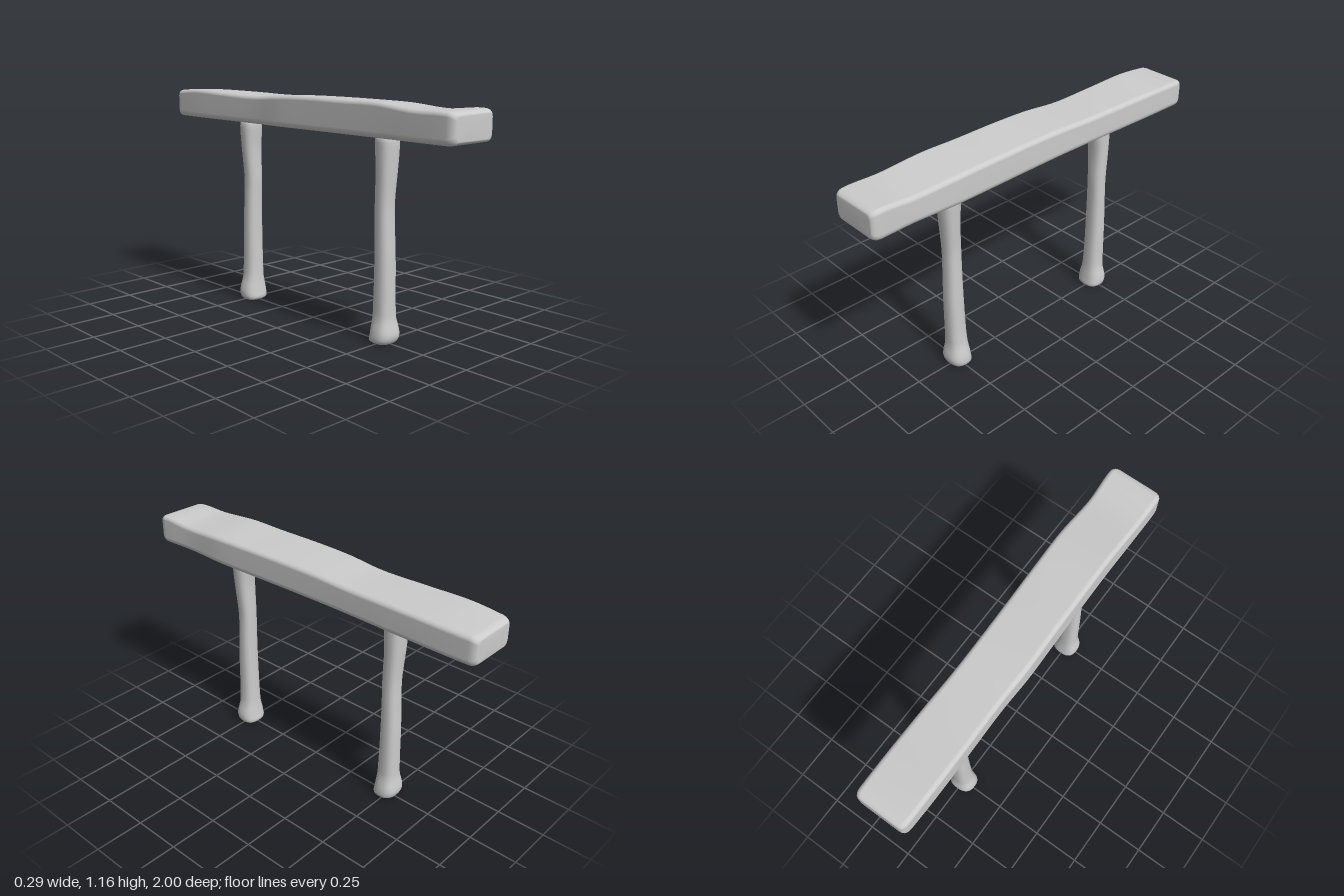
import * as THREE from 'three';

const material = new THREE.MeshStandardMaterial({ color: 0xcccccc, side: THREE.DoubleSide });

// Smooth interpolation through rows of [t, a, b, c, ...] sorted by t
function sample(rows, t) {
  let i = 0;
  while (i < rows.length - 2 && t > rows[i + 1][0]) i++;
  const p = rows[i], q = rows[i + 1];
  const o = rows[Math.max(i - 1, 0)], r = rows[Math.min(i + 2, rows.length - 1)];
  const h = q[0] - p[0], u = THREE.MathUtils.clamp((t - p[0]) / h, 0, 1);
  return p.slice(1).map((v, k) => {
    const n = k + 1;
    const m0 = (q[n] - o[n]) / (q[0] - o[0]) * h, m1 = (r[n] - p[n]) / (r[0] - p[0]) * h;
    const u2 = u * u, u3 = u2 * u;
    return (2 * u3 - 3 * u2 + 1) * v + (u3 - 2 * u2 + u) * m0 + (3 * u2 - 2 * u3) * q[n] + (u3 - u2) * m1;
  });
}

// Skin a list of closed rings and cap both ends
function loft(rings, name) {
  const n = rings[0].length, last = rings.length - 1;
  const points = rings.flat(), index = [];
  for (let i = 0; i < last; i++) for (let j = 0; j < n; j++) {
    const a = i * n + j, b = i * n + (j + 1) % n;
    index.push(a, b, a + n, b, b + n, a + n);
  }
  for (const row of [0, last]) {
    const centre = new THREE.Vector3();
    rings[row].forEach(p => centre.addScaledVector(p, 1 / n));
    const c = points.push(centre) - 1;
    for (let j = 0; j < n; j++) {
      const a = row * n + j, b = row * n + (j + 1) % n;
      row ? index.push(c, a, b) : index.push(c, b, a);
    }
  }
  const geometry = new THREE.BufferGeometry().setFromPoints(points);
  geometry.setIndex(index);
  geometry.computeVertexNormals();
  const mesh = new THREE.Mesh(geometry, material);
  mesh.name = name;
  return mesh;
}

// Beam outline along z: [z, left x, right x, top y at left, top y at right]
const beamRows = [
  [-1.0, -0.138, 0.13, 1.142, 1.14], [-0.8, -0.143, 0.132, 1.156, 1.142],
  [-0.55, -0.142, 0.13, 1.15, 1.142], [-0.3, -0.14, 0.126, 1.146, 1.14],
  [-0.1, -0.147, 0.126, 1.158, 1.147], [0.1, -0.144, 0.13, 1.164, 1.15],
  [0.35, -0.141, 0.137, 1.163, 1.15], [0.55, -0.14, 0.141, 1.164, 1.147],
  [0.78, -0.143, 0.132, 1.145, 1.134], [0.92, -0.144, 0.138, 1.146, 1.147],
  [1.0, -0.142, 0.14, 1.142, 1.146],
];

function beamRing(z, inset) {
  const [x0, x1, yl, yr] = sample(beamRows, z);
  // Corners run anticlockwise: centre is pulled in by the corner radius
  const corners = [
    [x1, yr, -1, -1, 0.024, 0.022], [x0, yl, 1, -1, 0.024, 0.022],
    [x0, 1.0, 1, 1, 0.022, 0.03], [x1, 1.0, -1, 1, 0.022, 0.03],
  ];
  const ring = [];
  corners.forEach(([x, y, sx, sy, rx, ry], k) => {
    const cx = x + sx * (rx + inset), cy = y + sy * (ry + inset * 0.8);
    for (let s = 0; s <= 5; s++) {
      const a = (k + s / 5) * Math.PI / 2;
      ring.push(new THREE.Vector3(cx + rx * Math.cos(a), cy + ry * Math.sin(a), z));
    }
  });
  return ring;
}

function makeBeam() {
  const rings = [], r = 0.04, steps = 5, body = 56;
  const end = (s, a) => beamRing(s * (1 - r + r * Math.cos(a)), r * 0.75 * (1 - Math.cos(Math.PI / 2 - a)));
  for (let i = 0; i < steps; i++) rings.push(end(-1, i / steps * Math.PI / 2));
  for (let i = 0; i <= body; i++) rings.push(beamRing((1 - r) * (2 * i / body - 1), 0));
  for (let i = steps - 1; i >= 0; i--) rings.push(end(1, i / steps * Math.PI / 2));
  // Straighten the inset so the tip is the smallest section
  rings.forEach((ring, i) => {
    const k = Math.min(i, rings.length - 1 - i);
    if (k > steps) return;
    const a = k / steps * Math.PI / 2, z = ring[0].z;
    rings[i] = beamRing(z, r * 0.6 * (1 - Math.sin(a)));
  });
  return loft(rings, 'beam');
}

// Leg outline up y: [y, min x, max x, min z, max z], z measured from the leg axis
const legRows = [
  [0.0, -0.052, 0.058, -0.052, 0.045], [0.012, -0.068, 0.07, -0.062, 0.058],
  [0.04, -0.07, 0.073, -0.059, 0.067], [0.075, -0.065, 0.068, -0.055, 0.063],
  [0.12, -0.055, 0.056, -0.05, 0.054], [0.2, -0.053, 0.05, -0.046, 0.052],
  [0.4, -0.052, 0.047, -0.042, 0.049], [0.55, -0.051, 0.044, -0.042, 0.043],
  [0.68, -0.051, 0.042, -0.044, 0.04], [0.85, -0.054, 0.053, -0.041, 0.049],
  [0.95, -0.056, 0.06, -0.048, 0.053], [0.985, -0.056, 0.059, -0.048, 0.052],
  [1.0, -0.046, 0.05, -0.042, 0.045],
];

function makeLeg(name) {
  const heights = [0, 0.005, 0.012, 0.025, 0.04, 0.055, 0.075, 0.095, 0.12, 0.15];
  for (let y = 0.2; y < 0.94; y += 0.04) heights.push(y);
  heights.push(0.95, 0.97, 0.985, 0.993, 1.0, 1.02);
  const power = v => Math.sign(v) * Math.pow(Math.abs(v), 0.8);
  const rings = heights.map(y => {
    const [x0, x1, z0, z1] = sample(legRows, y);
    return Array.from({ length: 28 }, (_, j) => {
      const a = j / 28 * Math.PI * 2;
      return new THREE.Vector3(
        (x0 + x1) / 2 + (x1 - x0) / 2 * power(Math.cos(a)), y,
        (z0 + z1) / 2 - (z1 - z0) / 2 * power(Math.sin(a)));
    });
  });
  return loft(rings, name);
}

export function createModel() {
  const group = new THREE.Group();
  group.name = 'woodenBench';
  const front = makeLeg('frontLeg');
  front.position.z = 0.502;
  // The back leg is the same post turned half round
  const back = makeLeg('backLeg');
  back.rotation.y = Math.PI;
  back.position.z = -0.494;
  group.add(makeBeam(), front, back);
  return group;
}
